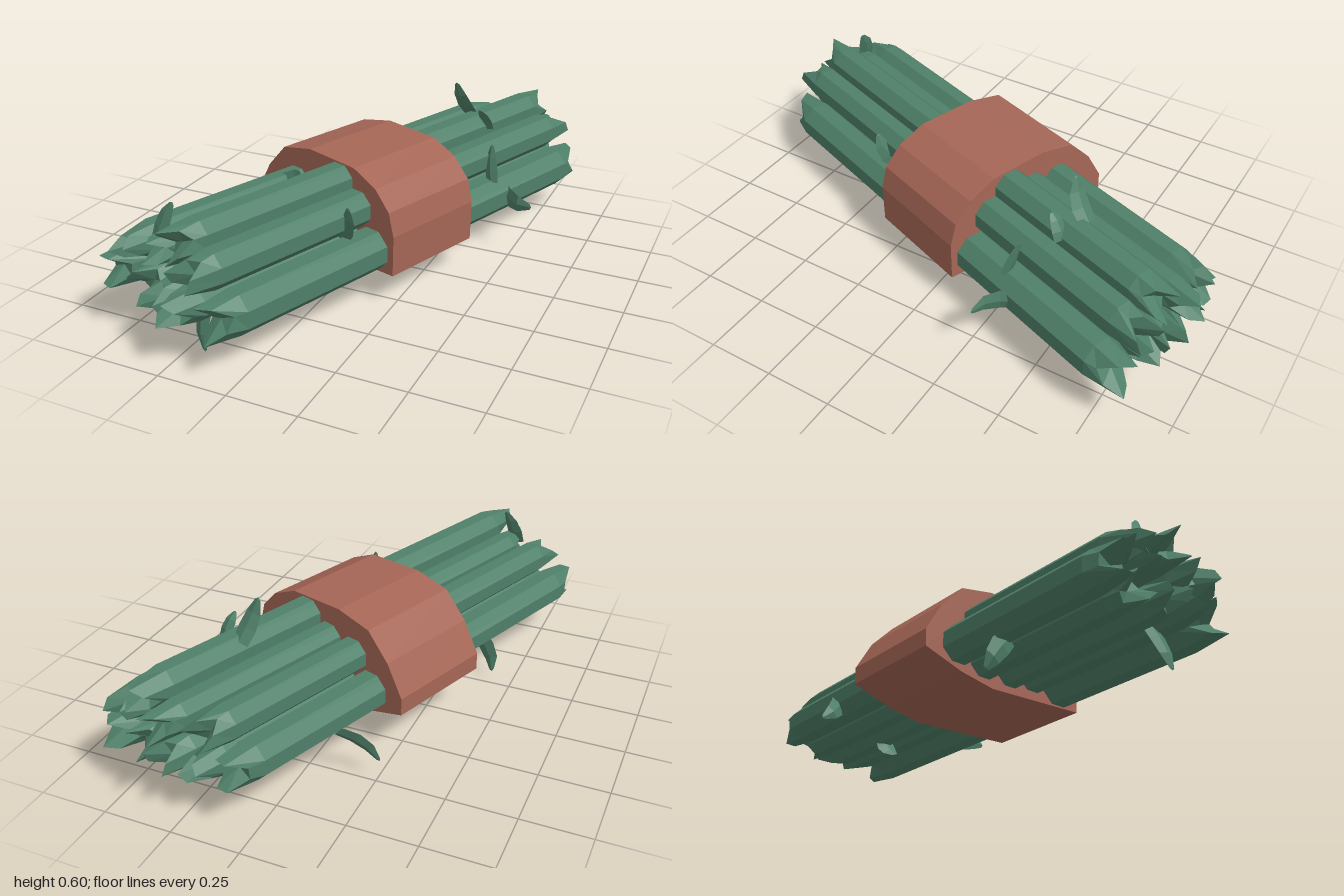
import * as THREE from 'three';

const green = new THREE.MeshStandardMaterial({ color: 0x4f8069, flatShading: true, side: THREE.DoubleSide });
const clay = new THREE.MeshStandardMaterial({ color: 0xa56656, flatShading: true });
const TURN = -20 * Math.PI / 180;

// Skin a list of equal rings, closing both ends on a centre point
function loft(rings, start, end) {
  const pos = [];
  const tri = (...pts) => pts.forEach(p => pos.push(p.x, p.y, p.z));
  const n = rings[0].length, last = rings[rings.length - 1];
  for (let k = 0; k < n; k++) {
    const m = (k + 1) % n;
    for (let i = 0; i < rings.length - 1; i++) {
      const a = rings[i], b = rings[i + 1];
      tri(a[k], a[m], b[m]);
      tri(a[k], b[m], b[k]);
    }
    tri(start, rings[0][m], rings[0][k]);
    tri(end, last[k], last[m]);
  }
  const g = new THREE.BufferGeometry();
  g.setAttribute('position', new THREE.Float32BufferAttribute(pos, 3));
  g.computeVertexNormals();
  return g;
}

// Eight-sided stalk along z whose ends are hollowed and split into points
function stalk(x, y, r, back, front, seed) {
  const ring = (z, scale, jag) => Array.from({ length: 8 }, (_, k) => {
    const a = (k + 0.5) * Math.PI / 4;
    const cut = jag * (0.5 + 0.5 * Math.sin(seed * 2.3 + k * 1.57));
    return new THREE.Vector3(x + r * scale * Math.cos(a), y + r * scale * Math.sin(a), z - cut);
  });
  const rings = [
    ring(back, 0.82, -0.1), ring(back + 0.14, 1.04, 0),
    ring(front - 0.14, 1.04, 0), ring(front, 0.82, 0.1),
  ];
  return loft(rings, new THREE.Vector3(x, y, back + 0.09), new THREE.Vector3(x, y, front - 0.09));
}

// Curled leaf scale, broad across the stalk and pointed at its tip
function leaf(base, mid, tip, width) {
  const [p, q, t] = [base, mid, tip].map(v => new THREE.Vector3(...v));
  const curve = new THREE.CatmullRomCurve3([p, q, t]);
  const axis = new THREE.Vector3(Math.sin(TURN), 0, Math.cos(TURN));
  const across = t.clone().sub(p).cross(axis).normalize();
  const rings = [[0, 0.9], [0.3, 1], [0.65, 0.8], [0.95, 0.3]].map(([u, s]) => {
    const c = curve.getPoint(u);
    const n = curve.getTangent(u).cross(across).normalize();
    return [[1, 0], [0, 1], [-1, 0], [0, -1]].map(([a, b]) =>
      c.clone().addScaledVector(across, a * s * width / 2).addScaledVector(n, b * s * 0.01));
  });
  return loft(rings, p, t);
}

export function createModel() {
  const model = new THREE.Group();
  model.name = 'stalkBundle';
  const add = (parent, geometry, material, name) => {
    const mesh = new THREE.Mesh(geometry, material);
    mesh.name = name;
    parent.add(mesh);
  };

  // Stalks and band share one turned frame
  const bundle = new THREE.Group();
  bundle.name = 'bundle';
  bundle.rotation.y = TURN;
  model.add(bundle);

  // Stalks: x, y, radius, back end, front end
  [
    [-0.235, 0.22, 0.07, -0.92, 0.99],
    [-0.15, 0.33, 0.062, -0.95, 0.98],
    [-0.12, 0.19, 0.062, -0.96, 0.95],
    [-0.03, 0.35, 0.058, -1.04, 0.95],
    [0.0, 0.19, 0.062, -1.0, 0.99],
    [0.075, 0.405, 0.066, -1.01, 0.96],
    [0.11, 0.205, 0.064, -1.0, 1.01],
    [0.165, 0.33, 0.066, -1.02, 0.98],
    [0.237, 0.195, 0.076, -1.01, 0.95],
  ].forEach((s, i) => add(bundle, stalk(...s, i + 1), green, 'stalk'));

  // Band wrapped round the middle
  const outline = [
    [-0.06, 0.1], [0.356, 0.12], [0.358, 0.27], [0.335, 0.355], [0.27, 0.425], [0.165, 0.472],
    [-0.06, 0.48], [-0.2, 0.45], [-0.29, 0.355], [-0.356, 0.24], [-0.356, 0.175], [-0.2, 0.125],
  ].map(p => new THREE.Vector2(...p));
  const bandGeometry = new THREE.ExtrudeGeometry(new THREE.Shape(outline), { depth: 0.42, bevelEnabled: false });
  bandGeometry.translate(-0.02, 0, -0.225);
  add(bundle, bandGeometry, clay, 'band');

  // Leaf scales curling away from the stalks: base, middle, tip, width
  [
    [[0.23, 0.45, -0.53], [0.21, 0.52, -0.48], [0.19, 0.595, -0.46], 0.08],
    [[0.32, 0.42, -0.48], [0.31, 0.47, -0.46], [0.3, 0.505, -0.43], 0.06],
    [[0.44, 0.2, -0.39], [0.49, 0.2, -0.31], [0.57, 0.2, -0.285], 0.08],
    [[0.4, 0.26, -0.32], [0.385, 0.33, -0.34], [0.38, 0.4, -0.36], 0.06],
    [[-0.13, 0.19, -0.53], [-0.2, 0.13, -0.48], [-0.26, 0.08, -0.49], 0.07],
    [[0.2, 0.15, -0.54], [0.2, 0.11, -0.52], [0.22, 0.085, -0.49], 0.08],
    [[0.08, 0.26, 0.35], [0.12, 0.33, 0.38], [0.13, 0.4, 0.4], 0.07],
    [[-0.22, 0.37, 0.21], [-0.15, 0.4, 0.22], [-0.13, 0.4, 0.25], 0.05],
    [[-0.35, 0.36, 0.81], [-0.33, 0.44, 0.79], [-0.3, 0.5, 0.78], 0.07],
    [[-0.34, 0.17, 0.32], [-0.4, 0.1, 0.31], [-0.42, 0.035, 0.28], 0.08],
    [[-0.21, 0.16, 0.76], [-0.21, 0.08, 0.8], [-0.19, 0, 0.82], 0.08],
  ].forEach(l => add(model, leaf(...l), green, 'leafScale'));

  return model;
}
